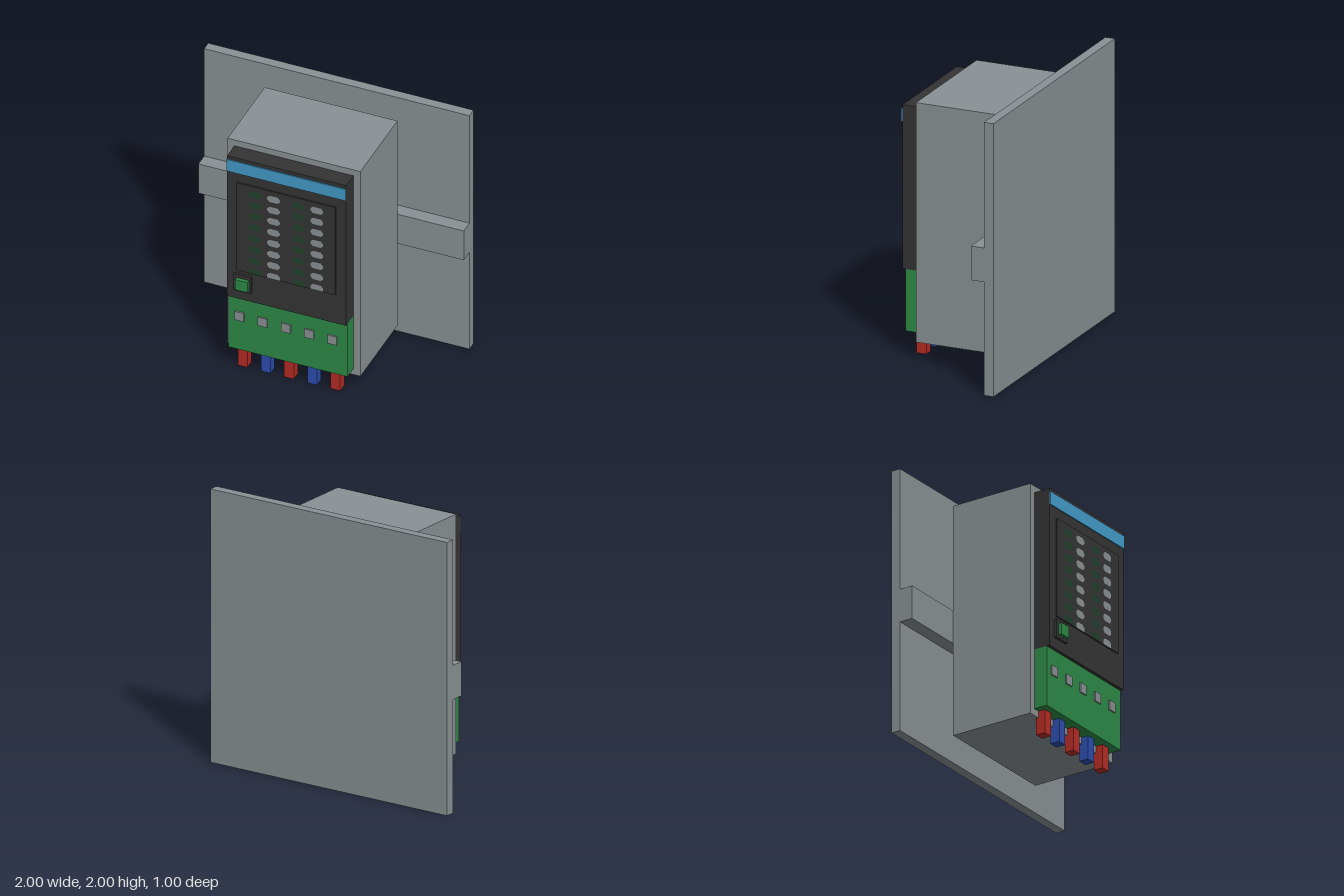
import * as THREE from 'three';

const material = (name, color) => {
  const m = new THREE.MeshStandardMaterial({ color });
  m.name = name;
  return m;
};

export function createModel() {
  const grey = material('grey', 0x8a9194);
  const black = material('black', 0x343434);
  const green = material('green', 0x2d8a47);
  const dimGreen = material('dim green', 0x20402a);
  const skyBlue = material('sky blue', 0x429bc8);
  const red = material('red', 0xb52c24);
  const blue = material('blue', 0x2d4dae);

  const model = new THREE.Group();
  model.name = 'controlModule';

  // Box given by its lower and upper limits on each axis
  const box = (name, mat, [x0, x1], [y0, y1], [z0, z1], parent = model) => {
    const mesh = new THREE.Mesh(new THREE.BoxGeometry(x1 - x0, y1 - y0, z1 - z0), mat);
    mesh.position.set((x0 + x1) / 2, (y0 + y1) / 2, (z0 + z1) / 2);
    mesh.name = name;
    parent.add(mesh);
    return mesh;
  };

  // Wall plate, mounting rail and housing
  box('backPlate', grey, [-1, 1], [0, 2], [-0.497, -0.425]);
  box('mountingRail', grey, [-1, 1], [0.83, 1.08], [-0.425, -0.324]);
  box('housing', grey, [-0.5, 0.5], [0.126, 1.88], [-0.324, 0.326]);

  // Front cover with its stripe and display
  box('frontCover', black, [-0.45, 0.447], [0.63, 1.83], [0.326, 0.454]);
  box('stripe', skyBlue, [-0.45, 0.447], [1.705, 1.803], [0.454, 0.463]);
  box('display', black, [-0.375, 0.37], [0.878, 1.627], [0.454, 0.465]);

  // Indicator lamps; the bottom row is cut square by the display edge
  const lampGeometry = (cut) => {
    const w = 0.048, h = 0.027, b = 0.018, low = cut ? 0 : b;
    const shape = new THREE.Shape([
      [-w + low, -h], [w - low, -h], [w, -h + low], [w, h - b],
      [w - b, h], [-w + b, h], [-w, h - b], [-w, -h + low],
    ].map(([x, y]) => new THREE.Vector2(x, Math.max(y, cut ? -0.023 : y))));
    return new THREE.ShapeGeometry(shape);
  };
  const fullLamp = lampGeometry(false);
  const cutLamp = lampGeometry(true);
  const lamps = new THREE.Group();
  lamps.name = 'lamps';
  model.add(lamps);
  [-0.235, -0.095, 0.095, 0.232].forEach((x, column) => {
    for (let row = 0; row < 8; row++) {
      const lamp = new THREE.Mesh(row === 7 ? cutLamp : fullLamp, column % 2 ? grey : dimGreen);
      lamp.name = column % 2 ? 'greyLamp' : 'greenLamp';
      lamp.position.set(x, 1.562 - row * 0.0944, 0.467);
      lamps.add(lamp);
    }
  });

  // Push button
  box('buttonBezel', black, [-0.395, -0.262], [0.71, 0.848], [0.454, 0.473]);
  box('button', green, [-0.37, -0.278], [0.735, 0.822], [0.473, 0.5]);

  // Terminal block with screws and wires
  box('terminalBlock', green, [-0.45, 0.447], [0.177, 0.63], [0.326, 0.43]);
  for (let i = 0; i < 5; i++) {
    const x = -0.365 + i * 0.175;
    box('terminalScrew', grey, [x - 0.035, x + 0.035], [0.43, 0.502], [0.43, 0.441]);
    box('wire', i % 2 ? blue : red, [x - 0.036, x + 0.036], [0, 0.18], [0.307, 0.38]);
  }

  return model;
}
